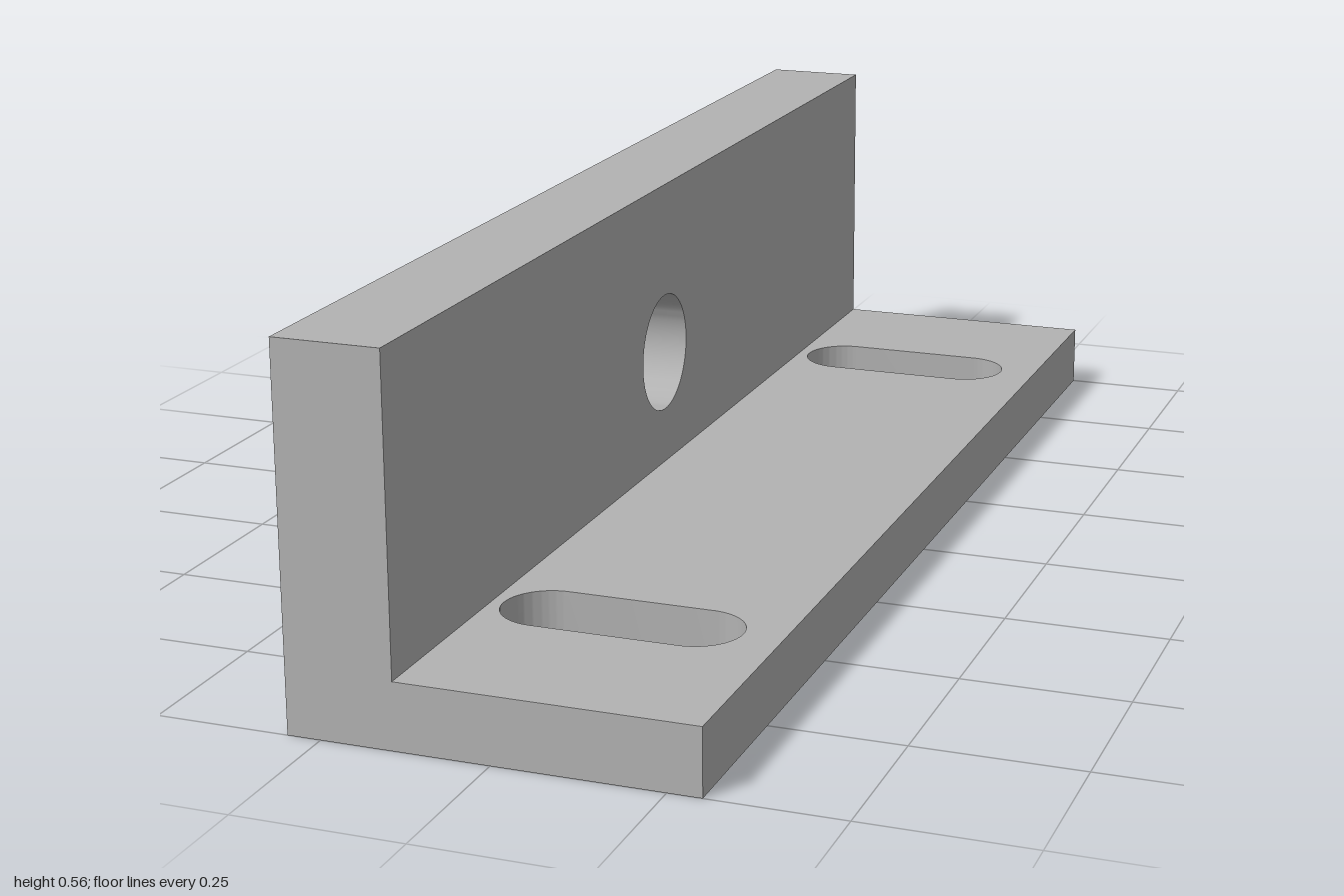
import * as THREE from 'three';
import { toCreasedNormals } from 'three/addons/utils/BufferGeometryUtils.js';

const LENGTH = 2, WIDTH = 0.6, HEIGHT = 0.56;
const BASE = 0.1;           // thickness of the base plate
const WALL = 0.16;          // thickness of the upright wall
const HOLE_DEPTH = 0.08;    // blind hole in the inner wall face

const rectangle = (x0, y0, x1, y1) => new THREE.Shape([
  new THREE.Vector2(x0, y0), new THREE.Vector2(x1, y0),
  new THREE.Vector2(x1, y1), new THREE.Vector2(x0, y1),
]);

// Rounded slot running along x
function slot(x0, x1, y, r) {
  const path = new THREE.Path();
  path.absarc(x1 - r, y, r, -Math.PI / 2, Math.PI / 2, false);
  path.absarc(x0 + r, y, r, Math.PI / 2, Math.PI * 1.5, false);
  path.closePath();
  return path;
}

// Straight extrusion with smooth hole walls and sharp rims
const extrude = (shape, depth) => toCreasedNormals(
  new THREE.ExtrudeGeometry(shape, { depth, bevelEnabled: false, curveSegments: 32 }), 0.5);

export function createModel() {
  const model = new THREE.Group();
  model.name = 'angleBracket';
  const metal = new THREE.MeshStandardMaterial({ color: 0xb2b2b2 });
  metal.name = 'greyMetal';

  const add = (name, geometry) => {
    const mesh = new THREE.Mesh(geometry, metal);
    mesh.name = name;
    model.add(mesh);
    return mesh;
  };

  // Base plate with two through slots
  const plate = rectangle(-WIDTH / 2, -LENGTH / 2, WIDTH / 2, LENGTH / 2);
  for (const side of [-1, 1]) plate.holes.push(slot(-0.122, 0.24, side * 0.68, 0.07));
  add('basePlate', extrude(plate, BASE).rotateX(-Math.PI / 2));

  // Outer, solid half of the wall, which closes the blind hole
  const backing = WALL - HOLE_DEPTH;
  add('wallBacking', new THREE.BoxGeometry(backing, HEIGHT - BASE, LENGTH))
    .position.set(-WIDTH / 2 + backing / 2, (HEIGHT + BASE) / 2, 0);

  // Inner half of the wall with the round hole
  const face = rectangle(-LENGTH / 2, BASE, LENGTH / 2, HEIGHT);
  face.holes.push(new THREE.Path().absarc(0, 0.284, 0.095, 0, Math.PI * 2, true));
  add('wallFace', extrude(face, HOLE_DEPTH).rotateY(Math.PI / 2))
    .position.x = -WIDTH / 2 + backing;

  return model;
}
